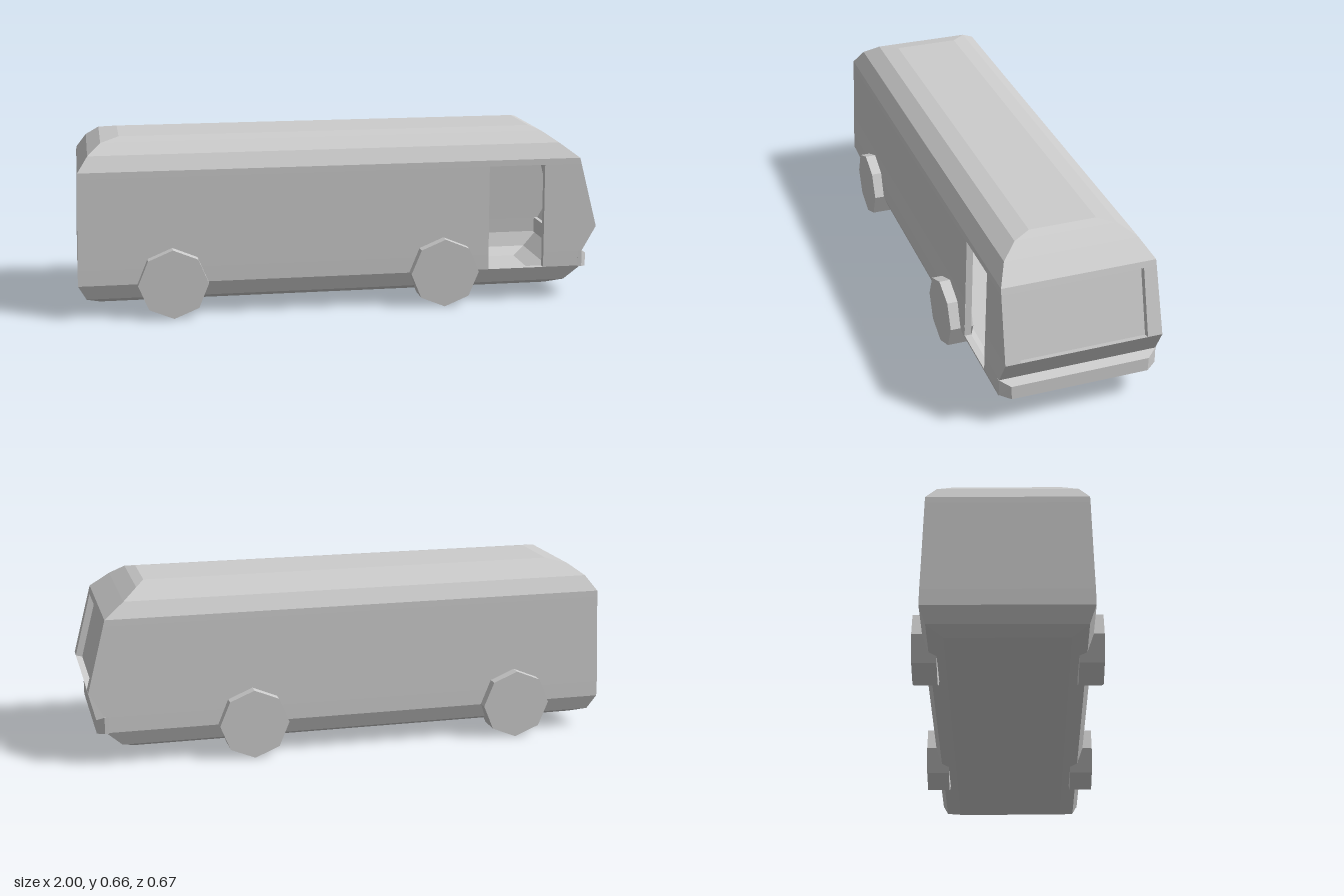
import * as THREE from 'three';
import { ConvexGeometry } from 'three/addons/geometries/ConvexGeometry.js';

const grey = new THREE.MeshStandardMaterial({ color: 0xcccccc, flatShading: true });
const shellMat = new THREE.MeshStandardMaterial({ color: 0xcccccc, flatShading: true, side: THREE.DoubleSide });

// Horizontal body rings: height, rear x, front x, half width
const RINGS = [
  [0.047, -0.92, 0.82, 0.215],
  [0.073, -0.97, 0.88, 0.275],
  [0.13, -1, 0.94, 0.297],
  [0.19, -1, 0.945, 0.296],
  [0.285, -0.997, 1, 0.293],
  [0.533, -0.99, 0.936, 0.286],
  [0.556, -0.989, 0.93, 0.285],
  [0.612, -0.95, 0.855, 0.248],
  [0.65, -0.9, 0.8, 0.19],
  [0.663, -0.83, 0.765, 0.125],
];
const DOOR = { x0: 0.57, x1: 0.79, y0: 0.13, y1: 0.533 };
const SCREEN = { y0: 0.285, y1: 0.533, z: 0.238 };

// Collects four-cornered faces, corners anticlockwise from outside
function quadMesh(name, quads) {
  const pos = [];
  for (const [a, b, c, d] of quads) pos.push(...a, ...b, ...c, ...a, ...c, ...d);
  const geo = new THREE.BufferGeometry();
  geo.setAttribute('position', new THREE.Float32BufferAttribute(pos, 3));
  geo.computeVertexNormals();
  const mesh = new THREE.Mesh(geo, shellMat);
  mesh.name = name;
  return mesh;
}

// Joins a rim of four points to the same rim moved by an offset
function rim(points, offset) {
  const inner = points.map((p) => p.map((v, i) => v + offset[i]));
  const sides = points.map((p, i) => {
    const j = (i + 1) % 4;
    return [p, points[j], inner[j], inner[i]];
  });
  return { inner, sides };
}

function bodyShell() {
  const quads = [];
  for (let i = 0; i < RINGS.length - 1; i++) {
    const [y0, b0, f0, w0] = RINGS[i];
    const [y1, b1, f1, w1] = RINGS[i + 1];
    // rear and right side
    quads.push([[b0, y0, -w0], [b0, y0, w0], [b1, y1, w1], [b1, y1, -w1]]);
    quads.push([[f0, y0, -w0], [b0, y0, -w0], [b1, y1, -w1], [f1, y1, -w1]]);
    // doorway side, left open between the door posts
    if (y0 >= DOOR.y0 && y1 <= DOOR.y1) {
      const { x0, x1 } = DOOR;
      quads.push([[b0, y0, w0], [x0, y0, w0], [x0, y1, w1], [b1, y1, w1]]);
      quads.push([[x1, y0, w0], [f0, y0, w0], [f1, y1, w1], [x1, y1, w1]]);
    } else {
      quads.push([[b0, y0, w0], [f0, y0, w0], [f1, y1, w1], [b1, y1, w1]]);
    }
    // nose, left open for the windscreen
    if (y0 === SCREEN.y0) {
      const z = SCREEN.z;
      quads.push([[f0, y0, w0], [f0, y0, z], [f1, y1, z], [f1, y1, w1]]);
      quads.push([[f0, y0, -z], [f0, y0, -w0], [f1, y1, -w1], [f1, y1, -z]]);
    } else {
      quads.push([[f0, y0, w0], [f0, y0, -w0], [f1, y1, -w1], [f1, y1, w1]]);
    }
  }
  // floor and roof
  const [yb, bb, fb, wb] = RINGS[0];
  const [yt, bt, ft, wt] = RINGS[RINGS.length - 1];
  quads.push([[bb, yb, -wb], [fb, yb, -wb], [fb, yb, wb], [bb, yb, wb]]);
  quads.push([[bt, yt, wt], [ft, yt, wt], [ft, yt, -wt], [bt, yt, -wt]]);
  return quadMesh('body', quads);
}

export function createModel() {
  const bus = new THREE.Group();
  bus.name = 'bus';
  bus.add(bodyShell());

  // Door frame, open to the hollow interior
  const { x0, x1, y0, y1 } = DOOR;
  const doorRim = rim([[x0, y0, 0.297], [x1, y0, 0.297], [x1, y1, 0.286], [x0, y1, 0.286]], [0, 0, -0.025]);
  bus.add(quadMesh('doorFrame', doorRim.sides));

  // Windscreen set square into the sloping nose
  const z = SCREEN.z;
  const screenRim = rim(
    [[1, SCREEN.y0, z], [1, SCREEN.y0, -z], [0.936, SCREEN.y1, -z], [0.936, SCREEN.y1, z]],
    [-0.025, -0.006, 0]
  );
  bus.add(quadMesh('windscreenFrame', screenRim.sides));
  bus.add(quadMesh('windscreen', [screenRim.inner]));

  // Front bumper with swept-back corners
  const corners = [];
  for (const s of [-1, 1]) {
    for (const [x, y, w] of [[0.93, 0.19, 0.297], [0.93, 0.127, 0.297], [0.945, 0.19, 0.297],
      [0.945, 0.127, 0.297], [0.972, 0.171, 0.26], [0.972, 0.118, 0.258]]) {
      corners.push(new THREE.Vector3(x, y, s * w));
    }
  }
  const bumper = new THREE.Mesh(new ConvexGeometry(corners), grey);
  bumper.name = 'frontBumper';
  bus.add(bumper);

  // Eight-sided wheels
  const wheelGeo = new THREE.CylinderGeometry(0.132, 0.132, 0.088, 8).rotateX(Math.PI / 2);
  for (const [end, x] of [['rear', -0.648], ['front', 0.39]]) {
    for (const [side, s] of [['Left', 1], ['Right', -1]]) {
      const wheel = new THREE.Mesh(wheelGeo, grey);
      wheel.name = `${end}Wheel${side}`;
      wheel.position.set(x, 0.132, s * 0.291);
      bus.add(wheel);
    }
  }
  return bus;
}
